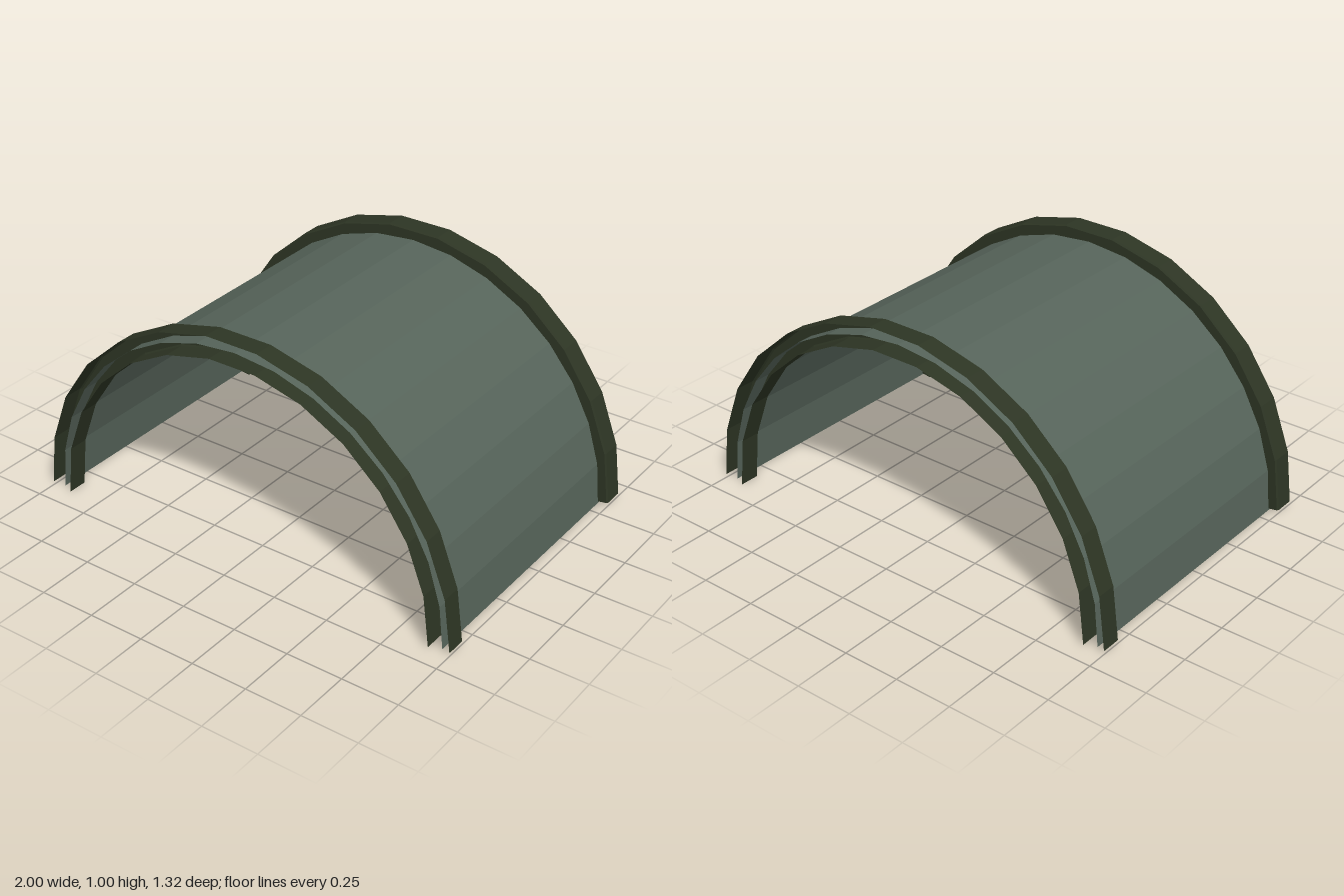
import * as THREE from 'three';

const shellMaterial = new THREE.MeshStandardMaterial({ color: 0x56645a, flatShading: true, side: THREE.DoubleSide });
const rimMaterial = new THREE.MeshStandardMaterial({ color: 0x2d3524, flatShading: true, side: THREE.DoubleSide });

// Sweep an open profile of [radius, z] points along a half circle of flat segments.
function archChannel(profile, segments, lift) {
  const positions = [], indices = [];
  const n = profile.length;
  for (let i = 0; i <= segments; i++) {
    const angle = Math.PI * i / segments;
    const isEnd = i === 0 || i === segments;
    for (const [r, z] of profile) {
      // The feet are cut at a slight slant, with the inner edge on the ground.
      const y = isEnd ? (r - profile[0][0]) * 0.16 : Math.sin(angle) * r + lift;
      positions.push(Math.cos(angle) * r, y, z);
    }
  }
  for (let i = 0; i < segments; i++) {
    for (let j = 0; j < n - 1; j++) {
      const a = i * n + j, b = a + n;
      indices.push(a, b, b + 1, a, b + 1, a + 1);
    }
  }
  const geometry = new THREE.BufferGeometry();
  geometry.setAttribute('position', new THREE.Float32BufferAttribute(positions, 3));
  geometry.setIndex(indices);
  geometry.computeVertexNormals();
  return geometry;
}

export function createModel() {
  const model = new THREE.Group();
  model.name = 'archedCanopy';

  // Thin half-cylinder sheet, reaching into both rim channels
  const shellGeometry = new THREE.CylinderGeometry(0.955, 0.955, 1.28, 16, 1, true, Math.PI / 2, Math.PI);
  shellGeometry.rotateX(Math.PI / 2);
  const shell = new THREE.Mesh(shellGeometry, shellMaterial);
  shell.name = 'archShell';
  model.add(shell);

  // U-section rims, open towards the ends, with softened back corners
  const profile = [
    [0.905, 0.662], [0.905, 0.574], [0.911, 0.568],
    [0.994, 0.568], [1, 0.574], [1, 0.662],
  ];
  const rimGeometry = archChannel(profile, 13, 0.007);
  for (const [name, turn] of [['frontRim', 0], ['backRim', Math.PI]]) {
    const rim = new THREE.Mesh(rimGeometry, rimMaterial);
    rim.name = name;
    rim.rotation.y = turn;
    model.add(rim);
  }
  return model;
}
